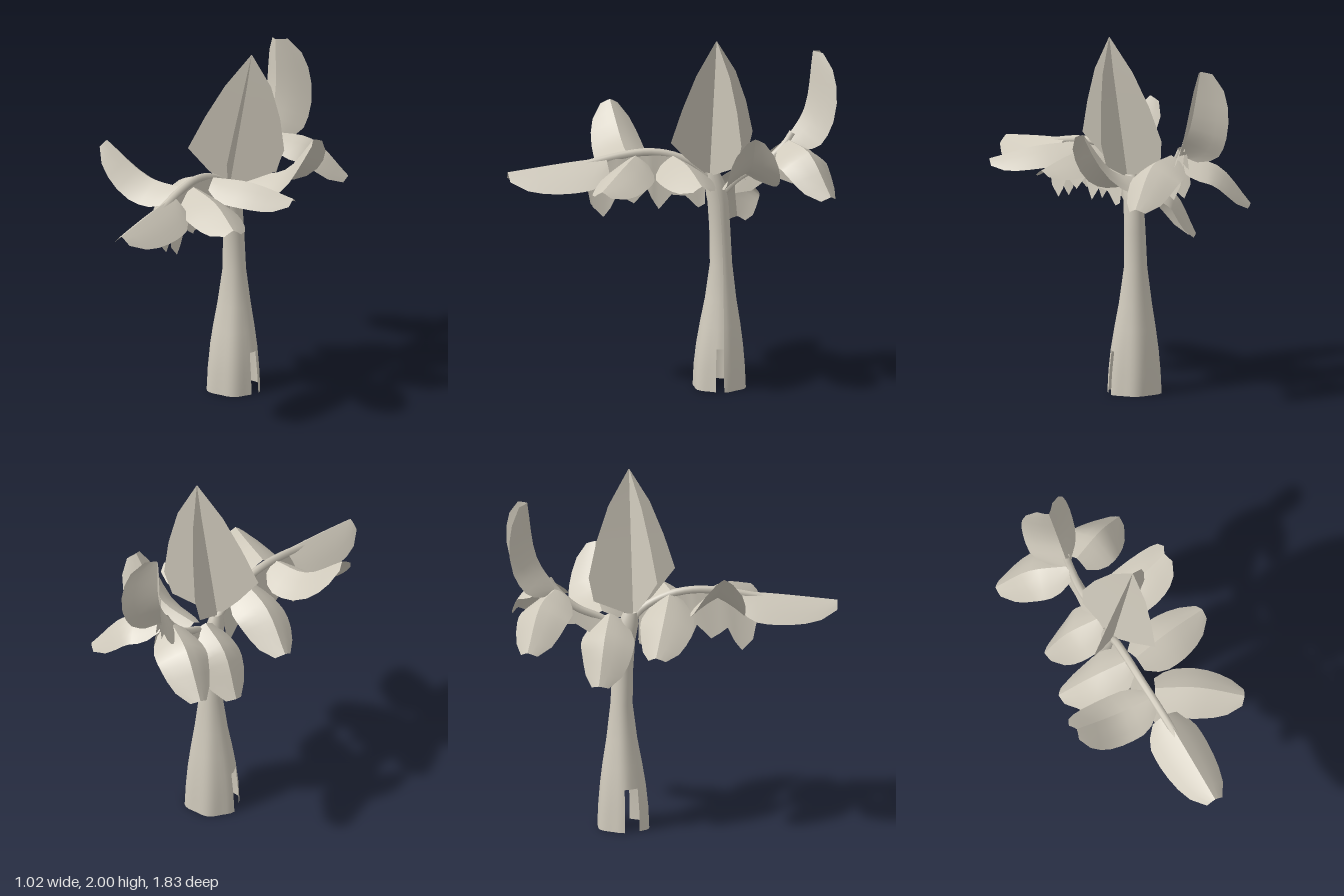
import * as THREE from 'three';

const V = (a) => new THREE.Vector3(...a);

// Builds a surface from rows of points; skip(i, j) leaves holes
function gridGeometry(rows, skip = () => false) {
  const n = rows[0].length, pos = rows.flat().flatMap((p) => [p.x, p.y, p.z]), idx = [];
  for (let i = 0; i < rows.length - 1; i++)
    for (let j = 0; j < n - 1; j++) {
      if (skip(i, j)) continue;
      const a = i * n + j, b = a + 1, c = a + n, d = c + 1;
      idx.push(a, c, b, b, c, d);
    }
  const g = new THREE.BufferGeometry();
  g.setAttribute('position', new THREE.Float32BufferAttribute(pos, 3));
  g.setIndex(idx);
  g.computeVertexNormals();
  return g;
}

// Relative half-width of a leaflet from base to tip
const WIDTHS = [0.5, 0.82, 0.97, 1, 1, 0.96, 0.87, 0.7, 0.33];

// Leaflet: two blades folded down from a curved spine
function leaflet(name, pts, width, fold, mat, ref = [0, 1, 0]) {
  const group = new THREE.Group();
  group.name = name;
  const curve = new THREE.CatmullRomCurve3(pts.map(V));
  for (const s of [-1, 1]) {
    const rows = WIDTHS.map((k, i) => {
      const t = i / (WIDTHS.length - 1);
      const p = curve.getPoint(t), d = curve.getTangent(t);
      const side = d.clone().cross(V(ref)).normalize();
      const up = side.clone().cross(d).normalize();
      return [0, 0.35, 0.7, 1].map((u) => p.clone()
        .addScaledVector(side, s * u * k * width * Math.cos(fold))
        .addScaledVector(up, -k * width * Math.sin(fold) * (0.7 * u + 0.3 * u * u)));
    });
    if (s < 0) rows.forEach((r) => r.reverse());
    const blade = new THREE.Mesh(gridGeometry(rows), mat);
    blade.name = s < 0 ? 'leafBladeA' : 'leafBladeB';
    group.add(blade);
  }
  return group;
}

// Flared, fluted trunk with split sides at the foot
function trunkGeometry() {
  // height, radius x, radius z, centre z
  const profile = [
    [0, 0.162, 0.152, -0.275], [0.12, 0.154, 0.146, -0.275], [0.24, 0.141, 0.133, -0.277],
    [0.36, 0.122, 0.114, -0.28], [0.5, 0.097, 0.088, -0.283], [0.7, 0.067, 0.062, -0.285],
    [0.9, 0.06, 0.058, -0.278], [1.05, 0.055, 0.058, -0.268], [1.15, 0.045, 0.058, -0.25],
    [1.22, 0.03, 0.04, -0.235],
  ];
  const n = 40;
  const rows = profile.map(([y, rx, rz, cz]) => Array.from({ length: n + 1 }, (_, j) => {
    const a = (j / n) * Math.PI * 2;
    const f = 1 - 0.04 * (1 - Math.cos(6 * a)) * Math.max(0, 1 - y / 0.8);
    return new THREE.Vector3(-0.003 + Math.cos(a) * rx * f, y, cz + Math.sin(a) * rz * f);
  }));
  return gridGeometry(rows, (i, j) => i < 2 && (j < 2 || (j >= 16 && j < 20)));
}

// Thin wavy skirt hanging under a stem; each row is z, top y, bottom y
function skirtGeometry(rows, topX, bottomX) {
  return gridGeometry(rows.map(([z, top, bottom]) => [
    new THREE.Vector3(topX, top, z), new THREE.Vector3(bottomX, bottom, z)]));
}

// Flat pointed plate; each row is height, left width, right width
function spearPlate(u) {
  const outline = [[1.2, 0.03, 0.03], [1.3, 0.5, 0.9], [1.43, 1, 1],
    [1.62, 0.76, 0.8], [1.81, 0.46, 0.5], [2, 0.01, 0.01]];
  return gridGeometry(outline.map(([y, l, r]) => {
    const t = (y - 1.2) / 0.8;
    const c = new THREE.Vector3(0.14 * Math.min(1, t + 0.04), y, -0.22 - 0.015 * t);
    return [c.clone().addScaledVector(u, -l), c, c.clone().addScaledVector(u, r)];
  }));
}

export function createModel() {
  const model = new THREE.Group();
  model.name = 'palmPlant';
  const mat = new THREE.MeshStandardMaterial({ color: 0xcfc9bb, side: THREE.DoubleSide });
  mat.name = 'paleStone';
  const add = (name, geo) => {
    const m = new THREE.Mesh(geo, mat);
    m.name = name;
    model.add(m);
  };

  add('trunk', trunkGeometry());

  // Arching stems of the two fronds
  const stems = {
    frontStem: [[0, 1.08, -0.26], [0, 1.22, -0.19], [-0.01, 1.31, -0.05], [-0.015, 1.345, 0.1],
      [-0.01, 1.335, 0.27], [0, 1.29, 0.5]],
    backStem: [[0, 1.08, -0.27], [0, 1.18, -0.38], [-0.02, 1.26, -0.54], [-0.02, 1.36, -0.65],
      [-0.02, 1.42, -0.69]],
  };
  for (const [name, pts] of Object.entries(stems))
    add(name, new THREE.TubeGeometry(new THREE.CatmullRomCurve3(pts.map(V)), 20, 0.022, 8));

  // Wavy leaf bases hanging below the stems
  const frontSkirt = [[0.46, 1.28, 1.16], [0.44, 1.3, 1.06], [0.38, 1.31, 1], [0.34, 1.32, 1.05],
    [0.3, 1.32, 1.13], [0.26, 1.32, 1.1], [0.21, 1.33, 1.07], [0.13, 1.33, 1.15],
    [0.1, 1.33, 1.08], [0.07, 1.33, 1.03], [0, 1.32, 1.11], [-0.08, 1.29, 1.1],
    [-0.15, 1.24, 1.03], [-0.19, 1.2, 1.05]];
  const backSkirt = [[-0.36, 1.17, 1.1], [-0.45, 1.21, 1.11], [-0.54, 1.26, 1.17],
    [-0.61, 1.32, 1.17], [-0.68, 1.38, 1.14], [-0.74, 1.4, 1.23]];
  for (const [side, s] of [['Left', 1], ['Right', -1]]) {
    add('frontSkirt' + side, skirtGeometry(frontSkirt, s * 0.01, s * 0.035));
    add('backSkirt' + side, skirtGeometry(backSkirt, s * 0.01 - 0.01, s * 0.035 - 0.01));
  }

  // Leaflets: name, spine points, blade width, fold angle
  const leaves = [
    ['frontTipLeaf', [[0, 1.33, 0.36], [0, 1.31, 0.58], [0, 1.27, 0.91]], 0.205, 0.75],
    ['frontOuterLeafRight', [[-0.02, 1.34, 0.24], [-0.25, 1.36, 0.23], [-0.5, 1.53, 0.25]], 0.18, 0.6],
    ['frontOuterLeafLeft', [[0.03, 1.34, 0.2], [0.24, 1.32, 0.31], [0.45, 1.25, 0.46]], 0.18, 0.6],
    ['frontInnerLeafRight', [[-0.02, 1.33, -0.02], [-0.22, 1.25, -0.06], [-0.4, 1.06, -0.12]], 0.18, 0.6],
    ['frontInnerLeafLeft', [[0.03, 1.33, -0.01], [0.26, 1.33, -0.05], [0.5, 1.27, -0.09]], 0.18, 0.6],
    ['backInnerLeafRight', [[-0.02, 1.22, -0.35], [-0.19, 1.12, -0.39], [-0.31, 0.88, -0.43]], 0.18, 0.6],
    ['backInnerLeafLeft', [[0.03, 1.22, -0.39], [0.25, 1.29, -0.41], [0.44, 1.51, -0.4]], 0.175, 0.55],
    ['backOuterLeafRight', [[-0.03, 1.37, -0.65], [-0.22, 1.32, -0.75], [-0.39, 1.1, -0.83]], 0.18, 0.6],
    ['backOuterLeafLeft', [[0.03, 1.39, -0.66], [0.22, 1.36, -0.74], [0.4, 1.15, -0.83]], 0.18, 0.6],
    ['backTipLeaf', [[-0.03, 1.38, -0.65], [-0.03, 1.55, -0.755], [-0.06, 1.87, -0.81]], 0.21, 0.78, [0, 0, 1]],
  ];
  for (const [name, pts, width, fold, ref] of leaves)
    model.add(leaflet(name, pts, width, fold, mat, ref));

  // Upright spear leaf made of two crossed plates
  add('spearLeafWide', spearPlate(new THREE.Vector3(0.235, 0, -0.125)));
  add('spearLeafDeep', spearPlate(new THREE.Vector3(-0.09, 0, -0.245)));

  return model;
}
